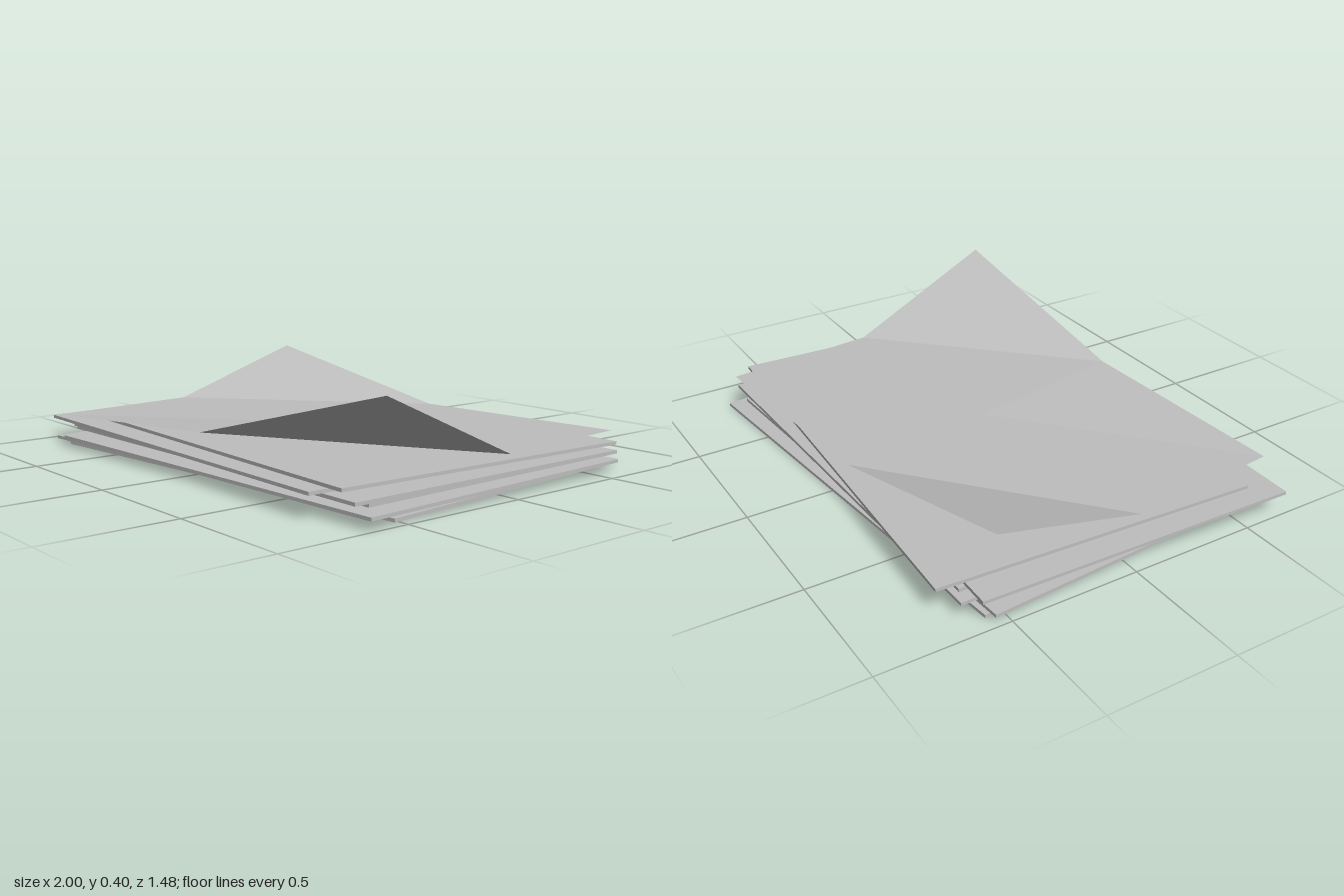
import * as THREE from 'three';

const WIDTH = 1.784, DEPTH = 1.267, THICK = 0.0125, PITCH = 0.0165;

// Flat sheets from bottom to top: centre x, centre z, turn about y
const STACK = [
  [0.008, -0.025, 0.099],
  [-0.041, 0.02, 0.072],
  [0.076, 0.06, 0.049],
  [0.006, -0.024, 0.027],
  [0.037, 0.02, 0],
  [-0.093, 0.0625, -0.024],
  [0.006, -0.0225, -0.049],
];

export function createModel() {
  const group = new THREE.Group();
  group.name = 'paperStack';

  const paper = new THREE.MeshStandardMaterial({ color: 0xbebebe });
  paper.name = 'paper grey';
  paper.flatShading = true;
  paper.side = THREE.DoubleSide;

  // Loosely piled flat sheets
  const sheetGeometry = new THREE.BoxGeometry(WIDTH, THICK, DEPTH);
  STACK.forEach(([x, z, turn], i) => {
    const sheet = new THREE.Mesh(sheetGeometry, paper);
    sheet.name = `flatSheet${i + 1}`;
    sheet.position.set(x, THICK / 2 + i * PITCH, z);
    sheet.rotation.y = turn;
    group.add(sheet);
  });

  // Top sheet with two opposite corners curling up (heights run back to front)
  const curled = new THREE.PlaneGeometry(WIDTH, DEPTH, 2, 2).rotateX(-Math.PI / 2);
  const lift = [0.182, 0, 0, 0, 0, 0, 0, 0.042, 0.271];
  lift.forEach((y, i) => curled.attributes.position.setY(i, y));
  curled.computeVertexNormals();
  const topSheet = new THREE.Mesh(curled, paper);
  topSheet.name = 'curledTopSheet';
  topSheet.position.set(0.009, 0.128, 0.016);
  topSheet.rotation.y = 0.101;
  group.add(topSheet);

  return group;
}
